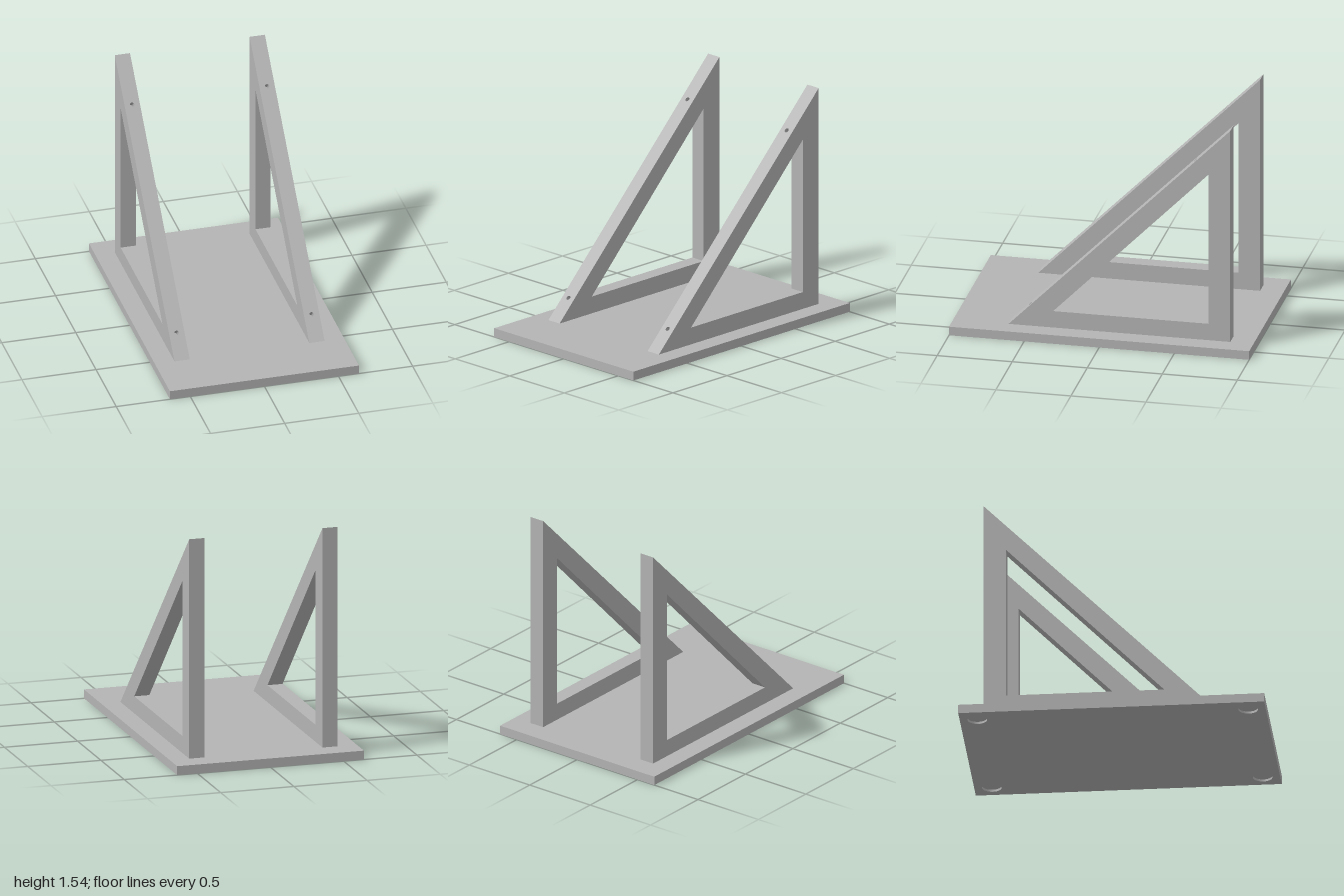
import * as THREE from 'three';
import { toCreasedNormals } from 'three/addons/utils/BufferGeometryUtils.js';

const grey = new THREE.MeshStandardMaterial({ color: 0xb4b4b4 });
grey.name = 'plain grey';

function part(name, geometry) {
  const mesh = new THREE.Mesh(geometry, grey);
  mesh.name = name;
  return mesh;
}

// Drops the flat faces that point along a direction, leaving an opening.
function withoutFaces(geometry, direction) {
  const source = geometry.index ? geometry.toNonIndexed() : geometry;
  const p = source.attributes.position;
  const kept = [];
  const tri = new THREE.Triangle();
  const n = new THREE.Vector3();
  for (let i = 0; i < p.count; i += 3) {
    tri.setFromAttributeAndIndices(p, i, i + 1, i + 2);
    if (tri.getNormal(n).dot(direction) > 0.99) continue;
    for (const v of [tri.a, tri.b, tri.c]) kept.push(v.x, v.y, v.z);
  }
  const result = new THREE.BufferGeometry();
  result.setAttribute('position', new THREE.Float32BufferAttribute(kept, 3));
  result.computeVertexNormals();
  return result;
}

// Rectangular face looking along +y, with round blind holes at [x, z] centres.
function drilledFace(name, width, length, centres, radius, depth) {
  const group = new THREE.Group();
  group.name = name;
  const w = width / 2, l = length / 2;
  const shape = new THREE.Shape([
    new THREE.Vector2(-w, -l), new THREE.Vector2(w, -l),
    new THREE.Vector2(w, l), new THREE.Vector2(-w, l),
  ]);
  for (const [x, z] of centres) {
    shape.holes.push(new THREE.Path().absarc(x, -z, radius, 0, Math.PI * 2, true));
    const well = new THREE.LatheGeometry([
      new THREE.Vector2(radius, 0),
      new THREE.Vector2(radius, -depth),
      new THREE.Vector2(0, -depth),
    ], 32);
    const hole = part(name + 'Hole', toCreasedNormals(well, 0.6));
    hole.position.set(x, 0, z);
    group.add(hole);
  }
  group.add(part(name + 'Surface', new THREE.ShapeGeometry(shape, 16).rotateX(-Math.PI / 2)));
  return group;
}

// Base board with four shallow round recesses underneath.
function makeBase() {
  const base = new THREE.Group();
  base.name = 'base';
  const width = 1.276, height = 0.06, length = 2;
  const board = withoutFaces(new THREE.BoxGeometry(width, height, length), new THREE.Vector3(0, -1, 0));
  board.translate(0, height / 2, 0);
  const centres = [];
  for (const x of [-0.525, 0.525]) for (const z of [-0.885, 0.885]) centres.push([x, z]);
  const underside = drilledFace('underside', width, length, centres, 0.064, 0.015);
  underside.rotation.x = Math.PI;
  base.add(part('baseBoard', board), underside);
  return base;
}

// Open triangular bracket; its sloping front edge has two screw holes.
function makeBracket(name, x) {
  const bracket = new THREE.Group();
  bracket.name = name;
  const width = 0.103;
  const toe = new THREE.Vector2(0.632, 0.06);     // (z, y)
  const peak = new THREE.Vector2(-0.845, 1.54);
  const shape = new THREE.Shape([toe, peak, new THREE.Vector2(peak.x, toe.y)]);
  shape.holes.push(new THREE.Path([
    new THREE.Vector2(0.335, 0.175),
    new THREE.Vector2(-0.7, 0.175),
    new THREE.Vector2(-0.7, 1.222),
  ]));
  const frame = new THREE.ExtrudeGeometry(shape, { depth: width, bevelEnabled: false });
  frame.rotateY(-Math.PI / 2).translate(width / 2, 0, 0);

  const angle = Math.atan2(peak.y - toe.y, toe.x - peak.x);
  const normal = new THREE.Vector3(0, Math.cos(angle), Math.sin(angle));
  bracket.add(part('bracketFrame', withoutFaces(frame, normal)));

  const slope = drilledFace('slope', width, toe.distanceTo(peak), [[0, -0.7], [0, 0.857]], 0.015, 0.06);
  slope.position.set(0, (toe.y + peak.y) / 2, (toe.x + peak.x) / 2);
  slope.rotation.x = angle;
  bracket.add(slope);
  bracket.position.x = x;
  return bracket;
}

export function createModel() {
  const model = new THREE.Group();
  model.name = 'bracketStand';
  model.add(makeBase(), makeBracket('leftBracket', 0.455), makeBracket('rightBracket', -0.455));
  return model;
}
